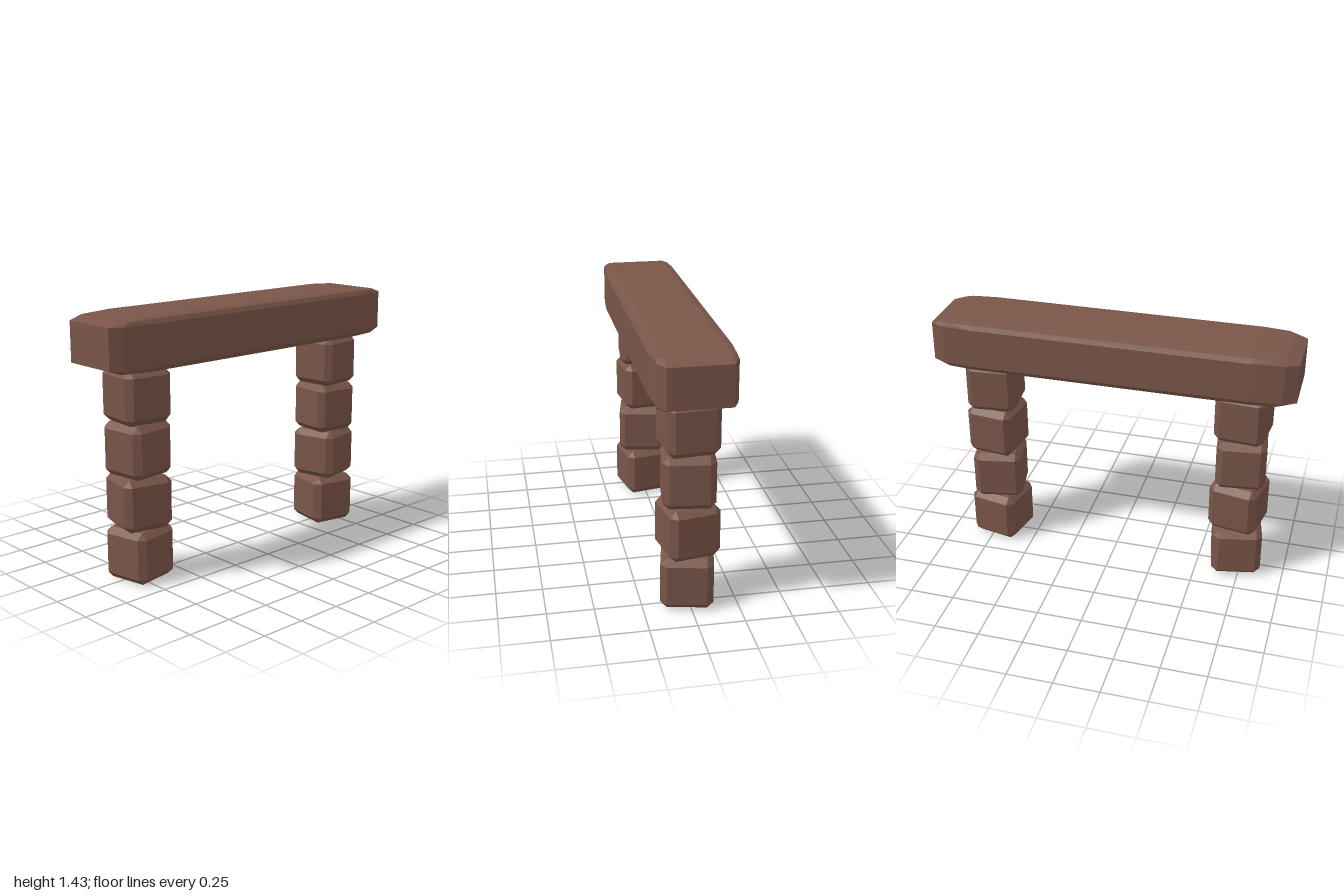
import * as THREE from 'three';
import { ConvexGeometry } from 'three/addons/geometries/ConvexGeometry.js';

// Corner directions: one flat chamfer, or a bevel of two steps
const CHAMFER = [[1, 0, 0], [0, 1, 0], [0, 0, 1]];
const e = Math.SQRT1_2, c = 1 / Math.sqrt(3);
const ROUND = [...CHAMFER, [e, e, 0], [e, 0, e], [0, e, e], [c, c, c]];

// Box with bevelled edges: half sizes, bevel per axis, corner pattern
function bevelledBox(half, bevel, corner) {
  const points = [];
  for (const sx of [-1, 1]) for (const sy of [-1, 1]) for (const sz of [-1, 1]) {
    const s = [sx, sy, sz];
    for (const d of corner) {
      points.push(new THREE.Vector3(...s.map((v, i) => v * (half[i] - bevel[i] + bevel[i] * d[i]))));
    }
  }
  return new ConvexGeometry(points);
}

export function createModel() {
  const model = new THREE.Group();
  model.name = 'stoneGate';
  const stone = new THREE.MeshStandardMaterial({ color: 0x795548, flatShading: true });

  // Two pillars of stacked, slightly twisted blocks, mirrored about x = 0
  const blockHeight = 0.287;
  const twists = [-11.5, 11, -7, 5];
  const halfWidths = [0.139, 0.139, 0.137, 0.139];
  for (const side of [1, -1]) {
    const pillar = new THREE.Group();
    pillar.name = side > 0 ? 'leftPillar' : 'rightPillar';
    pillar.position.x = side * 0.714;
    twists.forEach((twist, i) => {
      const h = halfWidths[i];
      const block = new THREE.Mesh(
        bevelledBox([h, blockHeight / 2, h], [0.034, 0.034, 0.034], CHAMFER), stone);
      block.name = 'pillarBlock' + (i + 1);
      block.position.y = (i + 0.5) * blockHeight;
      block.rotation.y = side * THREE.MathUtils.degToRad(twist);
      pillar.add(block);
    });
    model.add(pillar);
  }

  // Long lintel resting on the pillars
  const lintel = new THREE.Mesh(
    bevelledBox([1, 0.142, 0.213], [0.24, 0.034, 0.05], ROUND), stone);
  lintel.name = 'lintel';
  lintel.position.y = 1.289;
  model.add(lintel);

  return model;
}
